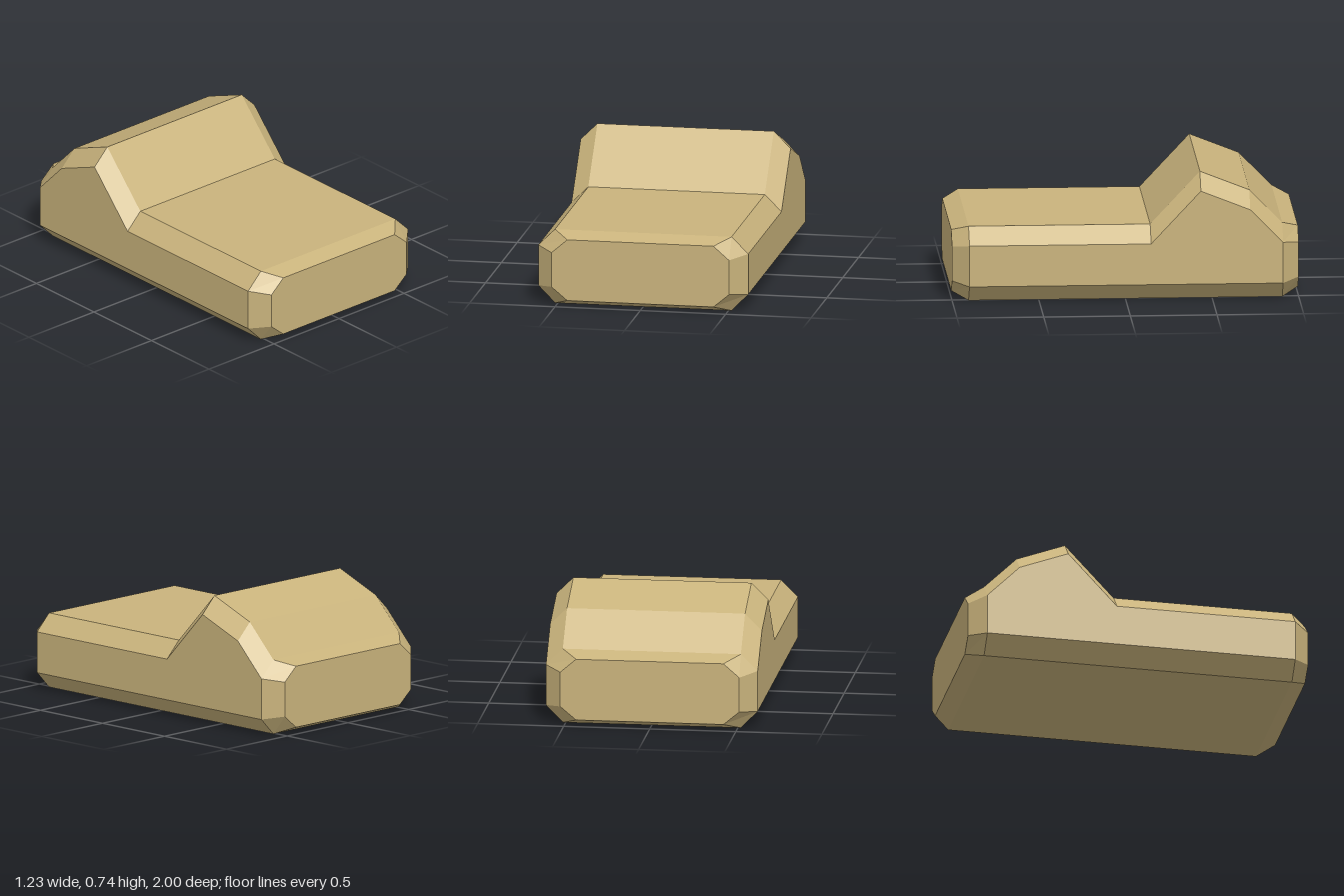
import * as THREE from 'three';

// Octagonal section: half width, flat half width, bottom, lower side, upper side, top
function section(z, a, b, y0, y1, y2, y3) {
  const right = [[b, y0], [a, y1], [a, y2], [b, y3]];
  const left = right.map(([x, y]) => [-x, y]).reverse();
  return [...right, ...left].map(([x, y]) => [x, y, z]);
}

// Loft closed sections from front to back, with both ends capped
function loft(sections) {
  const pos = [];
  const tri = (p, q, r) => pos.push(...p, ...q, ...r);
  const n = sections[0].length;
  for (let s = 0; s < sections.length - 1; s++) {
    const A = sections[s], B = sections[s + 1];
    for (let i = 0; i < n; i++) {
      const j = (i + 1) % n;
      tri(A[i], B[i], B[j]);
      tri(A[i], B[j], A[j]);
    }
  }
  const front = sections[0], back = sections[sections.length - 1];
  for (let i = 1; i < n - 1; i++) {
    tri(front[0], front[i], front[i + 1]);
    tri(back[0], back[i + 1], back[i]);
  }
  const geometry = new THREE.BufferGeometry();
  geometry.setAttribute('position', new THREE.Float32BufferAttribute(pos, 3));
  geometry.computeVertexNormals();
  return geometry;
}

export function createModel() {
  const group = new THREE.Group();
  const material = new THREE.MeshStandardMaterial({ color: 0xc9b37c, flatShading: true });

  // Chamfered ends are smaller; the body keeps its width while the top rises to the hump
  const end = z => section(z, 0.52, 0.428, 0.04, 0.117, 0.32, 0.4);
  const body = (z, top) => section(z, 0.615, 0.517, 0, 0.1, top - 0.097, top);

  const block = new THREE.Mesh(loft([
    end(1),
    body(0.905, 0.437),
    body(-0.143, 0.437),
    body(-0.43, 0.744),
    body(-0.715, 0.631),
    body(-0.905, 0.437),
    end(-1),
  ]), material);
  block.name = 'chamferedBody';
  group.add(block);
  return group;
}
